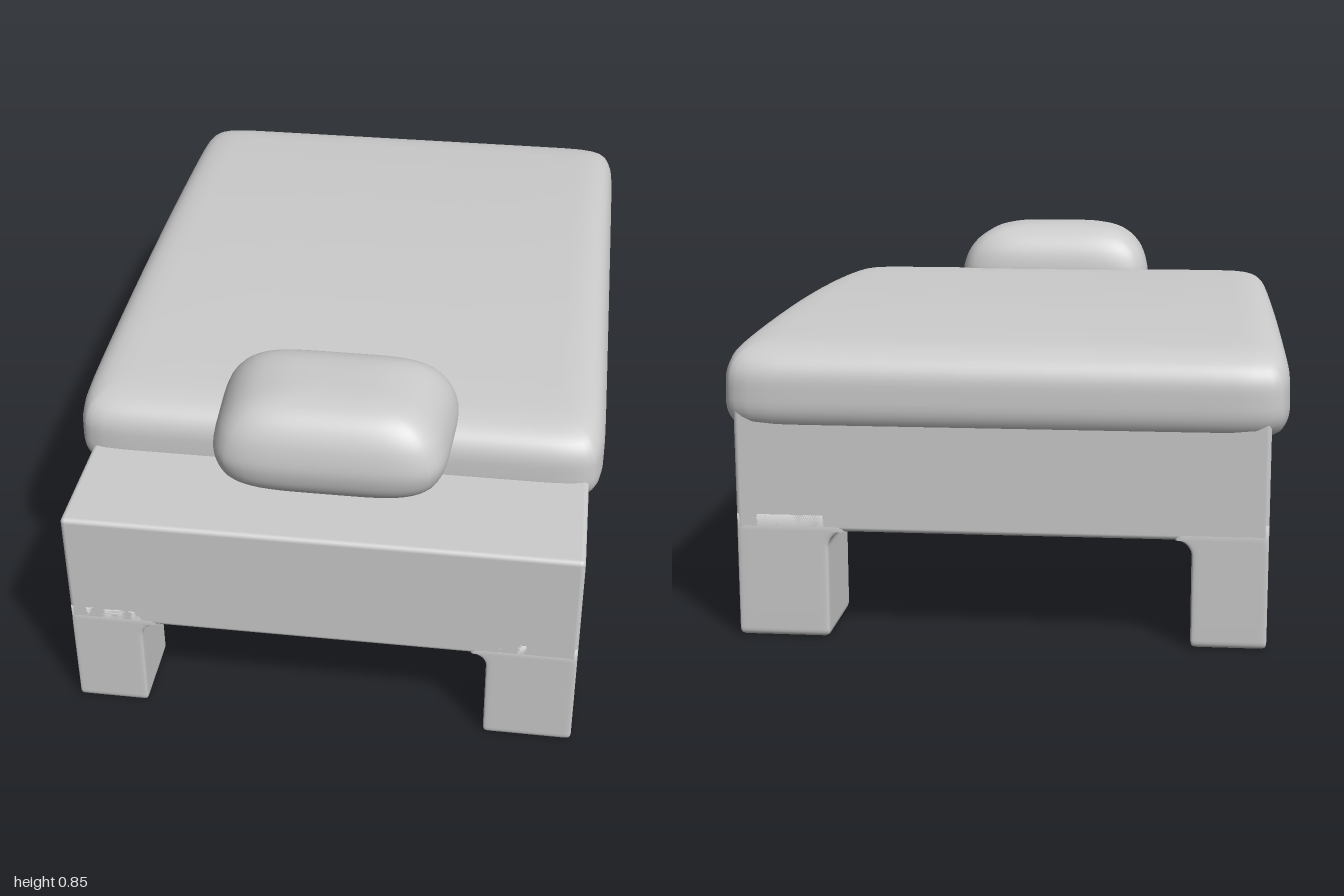
import * as THREE from 'three';
import { RoundedBoxGeometry } from 'three/addons/geometries/RoundedBoxGeometry.js';

const material = new THREE.MeshStandardMaterial({ color: 0xcccccc });

// Unit outline of a rounded square: denser near the corners, n sets how square it is
function outline(n, perSide = 20) {
  const points = [];
  for (let side = 0; side < 4; side++) {
    for (let k = 0; k < perSide; k++) {
      const s = Math.sin((Math.PI / 2) * ((2 * k) / perSide - 1));
      const [x, z] = [[1, s], [-s, 1], [-1, -s], [s, -1]][side];
      const f = (Math.abs(x) ** n + Math.abs(z) ** n) ** (-1 / n);
      points.push([x * f, z * f]);
    }
  }
  return points;
}

// Stack of outline rings; rows are [scale, y] from bottom to top, deform bends each point
function loft(name, { hx, hz, n, rows, deform }) {
  const ring = outline(n);
  const m = ring.length;
  const positions = [];
  const index = [];
  rows.forEach(([scale, y], i) => {
    ring.forEach(([x, z], j) => {
      const p = new THREE.Vector3(x * hx * scale, y, z * hz * scale);
      deform(p);
      positions.push(p.x, p.y, p.z);
      if (i === rows.length - 1) return;
      const a = i * m + j;
      const b = i * m + ((j + 1) % m);
      index.push(a, a + m, b, b, a + m, b + m);
    });
  });
  const geometry = new THREE.BufferGeometry();
  geometry.setAttribute('position', new THREE.Float32BufferAttribute(positions, 3));
  geometry.setIndex(index);
  geometry.computeVertexNormals();
  const mesh = new THREE.Mesh(geometry, material);
  mesh.name = name;
  return mesh;
}

// Smooth the profile by running a curve through its points
function smoothRows(rows, count) {
  const curve = new THREE.CatmullRomCurve3(rows.map(([s, y]) => new THREE.Vector3(s, y, 0)), false, 'centripetal');
  return curve.getPoints(count).map((p) => [Math.max(p.x, 0), p.y]);
}

// Leg whose two inner faces flare into the underside of the frame
function leg(name, x0, x1, z0, z1) {
  const hx = (x1 - x0) / 2, hz = (z1 - z0) / 2;
  const cx = (x0 + x1) / 2, cz = (z0 + z1) / 2;
  const r = 0.04, start = 0.22;
  const rows = [[0, 0], [0.86, 0], [0.93, 0.001], [0.975, 0.005], [0.995, 0.011], [1, 0.018], [1, 0.1], [1, 0.2]];
  for (let k = 0; k <= 8; k++) rows.push([1, start + r * Math.sin((k / 8) * Math.PI / 2)]);
  rows.push([1, 0.3], [0, 0.3]);
  const mesh = loft(name, {
    hx, hz, n: 30, rows,
    deform(p) {
      const t = THREE.MathUtils.clamp(p.y - start, 0, r);
      const flare = r - Math.sqrt(r * r - t * t);
      const sx = Math.sign(cx), sz = Math.sign(cz);
      p.x -= sx * flare * (1 - (sx * p.x) / hx) / 2;
      p.z -= sz * flare * (1 - (sz * p.z) / hz) / 2;
    },
  });
  mesh.position.set(cx, 0, cz);
  return mesh;
}

export function createModel() {
  const model = new THREE.Group();
  model.name = 'bed';

  // Frame slab
  const frame = new THREE.Mesh(new RoundedBoxGeometry(1.255, 0.31, 1.985, 4, 0.012), material);
  frame.name = 'frame';
  frame.position.set(0.0025, 0.415, 0.0075);
  model.add(frame);

  // Four legs
  for (const [end, z0, z1] of [['front', 0.8, 1], ['back', -0.985, -0.75]]) {
    model.add(leg(end + 'RightLeg', -0.625, -0.447, z0, z1));
    model.add(leg(end + 'LeftLeg', 0.41, 0.63, z0, z1));
  }

  // Mattress, lower towards its head and foot
  const mattress = loft('mattress', {
    hx: 0.668, hz: 0.85, n: 20,
    rows: [[0, 0.485], [0.5, 0.485], ...smoothRows([
      [0.9, 0.485], [0.945, 0.49], [0.98, 0.508], [0.998, 0.545], [1, 0.6],
      [0.995, 0.655], [0.975, 0.692], [0.94, 0.714], [0.89, 0.725], [0.82, 0.729],
    ], 30), [0.6, 0.73], [0.4, 0.73], [0.2, 0.73], [0, 0.73]],
    deform(p) {
      const end = (p.z / 0.85) ** 2;
      const height = (p.y - 0.485) / 0.245;
      p.y += end * (0.012 * (1 - height) - 0.032 * height);
    },
  });
  mattress.position.set(-0.003, 0, -0.15);
  model.add(mattress);

  // Plump pillow, slightly narrower at the head
  const pillow = loft('pillow', {
    hx: 0.292, hz: 0.2, n: 5,
    rows: smoothRows([
      [0, 0.576], [0.35, 0.58], [0.62, 0.59], [0.84, 0.615], [0.96, 0.65], [1, 0.695],
      [0.96, 0.745], [0.87, 0.787], [0.72, 0.82], [0.5, 0.838], [0.25, 0.844], [0, 0.845],
    ], 44),
    deform(p) {
      p.x *= 1 - 0.035 * (p.z / 0.2);
    },
  });
  pillow.position.set(0.002, 0, 0.707);
  model.add(pillow);

  return model;
}
